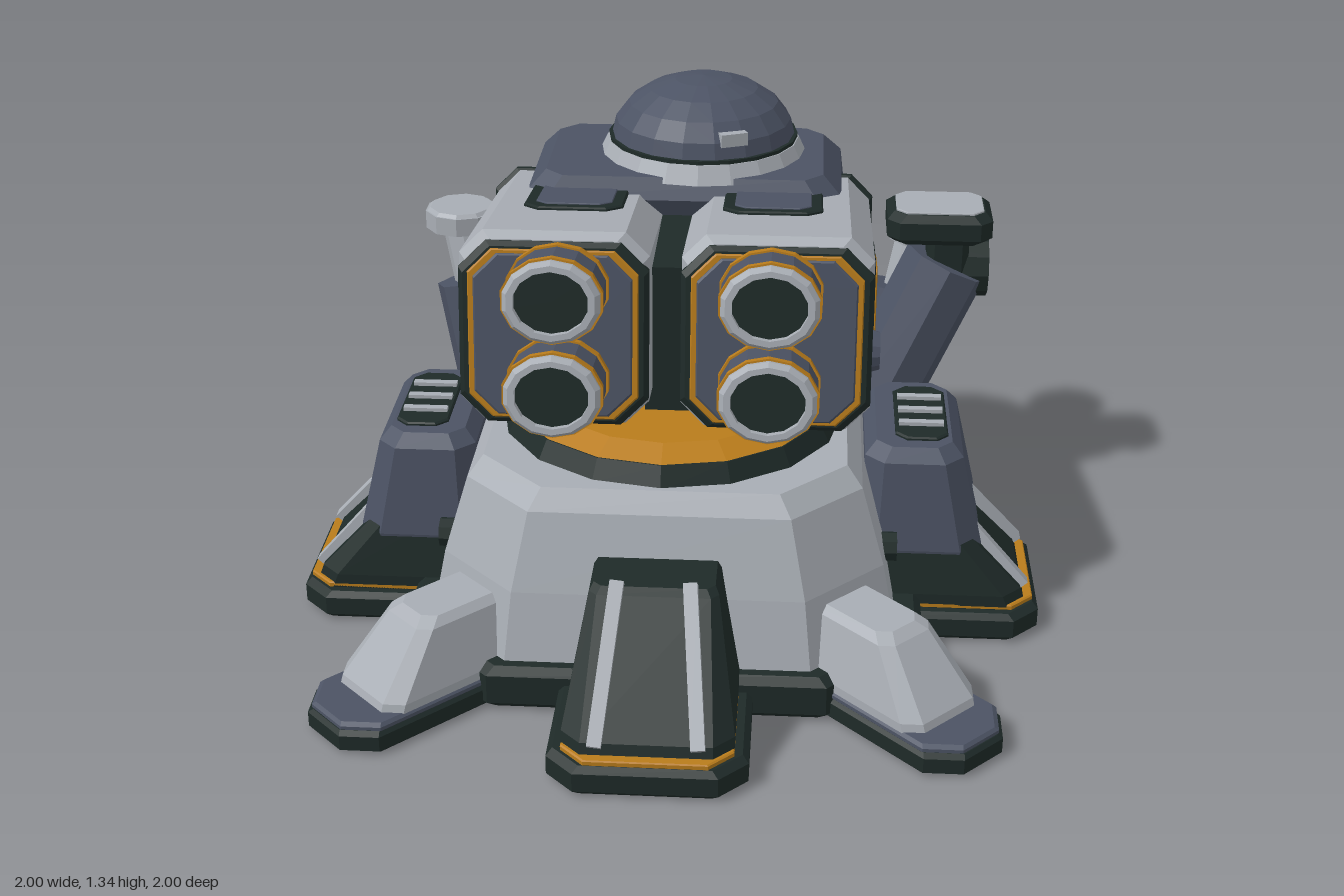
import * as THREE from 'three';

const mat = (name, color) => Object.assign(new THREE.MeshStandardMaterial({ color }), { name });
const light = mat('light grey', 0xa8adb4);
const slate = mat('slate', 0x4c5364);
const dark = mat('dark green grey', 0x1e2a28);
const orange = mat('orange', 0xb97c1b);

const V = (x, y, z) => new THREE.Vector3(x, y, z);
const flat = (g) => {
  const f = g.index ? g.toNonIndexed() : g;
  f.computeVertexNormals();
  return f;
};
function add(parent, name, geo, m, x = 0, y = 0, z = 0) {
  const mesh = new THREE.Mesh(flat(geo), m);
  mesh.name = name;
  mesh.position.set(x, y, z);
  parent.add(mesh);
  return mesh;
}

// Closed solid through rectangles with cut corners: [y, x0, x1, z0, z1, corner]
function loft(rings) {
  const p = [], idx = [], n = 8;
  for (const [y, x0, x1, z0, z1, c] of rings) {
    [[x1, z0 + c], [x1, z1 - c], [x1 - c, z1], [x0 + c, z1],
      [x0, z1 - c], [x0, z0 + c], [x0 + c, z0], [x1 - c, z0]].forEach(([x, z]) => p.push(x, y, z));
  }
  for (let r = 0; r < rings.length - 1; r++) {
    for (let i = 0; i < n; i++) {
      const a = r * n + i, b = r * n + (i + 1) % n;
      idx.push(a, a + n, b, b, a + n, b + n);
    }
  }
  const t = (rings.length - 1) * n;
  for (let i = 1; i < n - 1; i++) idx.push(0, i, i + 1, t, t + i + 1, t + i);
  const g = new THREE.BufferGeometry();
  g.setAttribute('position', new THREE.Float32BufferAttribute(p, 3));
  g.setIndex(idx);
  // make the winding face outward
  for (let i = 0; i < idx.length; i += 3) [idx[i + 1], idx[i + 2]] = [idx[i + 2], idx[i + 1]];
  const vol = idx.reduce((s, _, i) => {
    if (i % 3) return s;
    const [a, b, c] = [0, 1, 2].map((k) => V(...p.slice(idx[i + k] * 3, idx[i + k] * 3 + 3)));
    return s + a.dot(b.cross(c));
  }, 0);
  if (vol < 0) for (let i = 0; i < idx.length; i += 3) [idx[i + 1], idx[i + 2]] = [idx[i + 2], idx[i + 1]];
  g.setIndex(idx);
  return g;
}
// Slab with cut corners and a bevelled rim, lying flat, centred on its footprint
const slab = (w, h, d, c, b) => loft([
  [0, -w / 2 + b, w / 2 - b, -d / 2 + b, d / 2 - b, c], [b, -w / 2, w / 2, -d / 2, d / 2, c],
  [h - b, -w / 2, w / 2, -d / 2, d / 2, c], [h, -w / 2 + b, w / 2 - b, -d / 2 + b, d / 2 - b, c]]);
// Same slab standing up, thickness along +z
const panel = (w, h, t, c, b) => slab(w, t, h, c, b).rotateX(Math.PI / 2);

// Geometry whose y axis is laid from a to b
function between(parent, name, geo, m, a, b) {
  const mesh = add(parent, name, geo, m);
  mesh.position.copy(a).lerp(b, 0.5);
  mesh.quaternion.setFromUnitVectors(V(0, 1, 0), b.clone().sub(a).normalize());
  return mesh;
}
const rod = (parent, name, m, a, b, r, n = 8, r2 = r) =>
  between(parent, name, new THREE.CylinderGeometry(r2, r, a.distanceTo(b), n), m, a, b);

function buildBase(root) {
  add(root, 'basePlate', slab(1.36, 0.12, 1.3, 0.25, 0.02), dark);
  for (let i = 0; i < 4; i++) {
    // Straight foot with ramp and ribs
    const foot = new THREE.Group();
    foot.name = 'straightFoot';
    foot.rotation.y = i * Math.PI / 2;
    root.add(foot);
    add(foot, 'footPlate', slab(0.49, 0.08, 0.6, 0.07, 0.015), dark, 0, 0, 0.7);
    add(foot, 'footTrim', slab(0.42, 0.016, 0.55, 0.06, 0.003), orange, 0, 0.078, 0.71);
    add(foot, 'ramp', loft([[0.08, -0.21, 0.21, 0.45, 0.965, 0.05], [0.12, -0.21, 0.21, 0.45, 0.95, 0.05],
      [0.38, -0.16, 0.16, 0.45, 0.7, 0.02], [0.395, -0.15, 0.15, 0.45, 0.68, 0.02]]), dark);
    for (const s of [-1, 1]) {
      const a = V(s * 0.125, 0.11, 0.955), b = V(s * 0.09, 0.41, 0.685);
      between(foot, 'rampRib', new THREE.BoxGeometry(0.035, a.distanceTo(b), 0.045), light, a, b);
    }
    // Diagonal foot with light ramp
    const diag = new THREE.Group();
    diag.name = 'diagonalFoot';
    diag.rotation.y = Math.PI / 4 + i * Math.PI / 2;
    root.add(diag);
    add(diag, 'diagonalPlate', slab(0.28, 0.06, 0.6, 0.07, 0.01), dark, 0, 0, 0.85);
    add(diag, 'diagonalTop', slab(0.27, 0.025, 0.58, 0.07, 0.008), slate, 0, 0.055, 0.85);
    add(diag, 'diagonalRamp', loft([[0.07, -0.13, 0.13, 0.5, 1.04, 0.04], [0.1, -0.13, 0.13, 0.5, 1.03, 0.04],
      [0.25, -0.09, 0.09, 0.5, 0.9, 0.03], [0.27, -0.07, 0.07, 0.5, 0.87, 0.03]]), light);
  }
  // Armoured hull
  const ring = (y, r, c) => [y, -r, r, -r, r, c];
  add(root, 'hull', loft([ring(0.1, 0.61, 0.22), ring(0.3, 0.57, 0.2), ring(0.5, 0.51, 0.18), ring(0.55, 0.47, 0.17)]), light);
  add(root, 'turretRing', new THREE.CylinderGeometry(0.43, 0.46, 0.055, 16), dark, 0, 0.572, 0);
  add(root, 'turretRingTrim', new THREE.CylinderGeometry(0.36, 0.43, 0.03, 16), orange, 0, 0.613, 0);
  // Rear equipment box
  add(root, 'rearBox', slab(0.5, 0.38, 0.3, 0.03, 0.015), dark, 0, 0.09, -0.6);
  add(root, 'rearBoxLid', slab(0.48, 0.03, 0.28, 0.03, 0.01), slate, 0, 0.465, -0.6);
}

function buildSidePod(root, s) {
  const pod = new THREE.Group();
  pod.name = 'sidePod';
  pod.position.set(s * 0.67, 0, -0.05);
  root.add(pod);
  const o = s * 0.02;
  add(pod, 'podShell', loft([[0.15, -0.16, 0.16, -0.24, 0.22, 0.06], [0.24, -0.17, 0.17, -0.26, 0.24, 0.06],
    [0.49, -0.13 - o, 0.13 - o, -0.24, 0.22, 0.05], [0.525, -0.1 - o, 0.1 - o, -0.21, 0.19, 0.04]]), slate);
  add(pod, 'podVent', slab(0.14, 0.014, 0.32, 0.03, 0.004), dark, 0, 0.52, -0.01);
  for (const z of [-0.09, -0.01, 0.07]) add(pod, 'ventSlat', new THREE.BoxGeometry(0.12, 0.014, 0.022), light, 0, 0.537, z);
  for (const z of [0.26, -0.36])
    rod(pod, 'hullBolt', dark, V(-s * 0.15, 0.265, z), V(-s * 0.06, 0.265, z), 0.04);
}

function buildLauncher(root, s) {
  const box = new THREE.Group();
  box.name = 'launcher';
  box.position.set(s * 0.28, 0.855, -0.08);
  box.rotation.x = -0.13;
  root.add(box);
  add(box, 'launcherShell', panel(0.48, 0.5, 0.75, 0.06, 0.02), light, 0, 0, -0.38);
  add(box, 'rearFrame', panel(0.5, 0.51, 0.05, 0.06, 0.015), dark, 0, 0, -0.39);
  add(box, 'frontFrame', panel(0.48, 0.475, 0.04, 0.07, 0.012), dark, 0, -0.01, 0.345);
  add(box, 'frontTrim', panel(0.43, 0.44, 0.012, 0.06, 0.003), orange, 0, -0.01, 0.38);
  add(box, 'frontPanel', panel(0.4, 0.42, 0.015, 0.06, 0.004), slate, 0, -0.01, 0.385);
  // Launch tubes
  for (const y of [0.12, -0.12]) {
    const tube = new THREE.Group();
    tube.name = 'launchTube';
    tube.position.set(-s * 0.015, y, 0);
    tube.scale.x = 1.17;
    box.add(tube);
    const cyl = (r, z0, z1) => new THREE.CylinderGeometry(r, r, z1 - z0, 14).rotateX(Math.PI / 2).translate(0, 0, (z0 + z1) / 2);
    add(tube, 'tubeBase', cyl(0.112, 0.395, 0.42), orange);
    add(tube, 'tubeBody', cyl(0.107, 0.42, 0.52), slate);
    add(tube, 'tubeBand', cyl(0.11, 0.52, 0.54), orange);
    const rim = [[0.08, 0.53], [0.105, 0.53], [0.105, 0.55], [0.095, 0.565], [0.08, 0.565], [0.08, 0.53]];
    add(tube, 'tubeRim', new THREE.LatheGeometry(rim.map((q) => new THREE.Vector2(...q)), 14).rotateX(Math.PI / 2), light);
    add(tube, 'tubeBore', cyl(0.081, 0.52, 0.545), dark);
  }
  // Outer side hatch and knob
  const side = new THREE.Group();
  side.name = 'sideDetails';
  side.rotation.y = s * Math.PI / 2;
  side.position.x = s * 0.24;
  box.add(side);
  add(side, 'hatchFrame', panel(0.25, 0.265, 0.02, 0.015, 0.005), dark, s * 0.12, -0.03, -0.005);
  add(side, 'hatch', panel(0.18, 0.2, 0.009, 0.008, 0.002), orange, s * 0.12, -0.03, 0.012);
  const knob = add(side, 'sideKnob', new THREE.CylinderGeometry(0.05, 0.06, 0.035, 12).rotateX(Math.PI / 2), slate, -s * 0.085, -0.12, 0.012);
  knob.scale.x = 1.15;
  // Roof inset
  add(box, 'roofFrame', slab(0.26, 0.014, 0.52, 0.04, 0.004), dark, -s * 0.02, 0.245, -0.13);
  add(box, 'roofInset', slab(0.2, 0.009, 0.46, 0.03, 0.002), slate, -s * 0.02, 0.254, -0.13);
}

function buildPiston(root, s) {
  const g = new THREE.Group();
  g.name = 'rearPiston';
  root.add(g);
  const at = (t) => V(s * (0.57 + 0.135 * t), 0.15 + 0.64 * t, -0.76 - 0.12 * t);
  rod(g, 'pistonSleeve', slate, at(0), at(0.66), 0.125);
  rod(g, 'pistonRod', light, at(0.64), at(0.92), 0.07);
  const top = at(1);
  add(g, 'pistonHead', new THREE.CylinderGeometry(0.11, 0.11, 0.055, 10), light, top.x, 0.755, top.z);
  add(g, 'pistonHeadCap', new THREE.CylinderGeometry(0.095, 0.11, 0.015, 10), light, top.x, 0.785, top.z);
  add(g, 'pistonBracket', slab(0.48, 0.07, 0.22, 0.04, 0.01), light, s * 0.43, 0.1, -0.765);
}

function buildSensor(root) {
  const g = new THREE.Group();
  g.name = 'sensorArm';
  root.add(g);
  rod(g, 'armSleeve', slate, V(0.54, 0.27, -0.57), V(0.76, 0.74, -0.64), 0.125);
  rod(g, 'armJoint', dark, V(0.72, 0.72, -0.67), V(0.88, 0.72, -0.67), 0.09, 10);
  add(g, 'sensorNeck', slab(0.12, 0.16, 0.12, 0.02, 0.01), dark, 0.76, 0.7, -0.64);
  add(g, 'sensorHead', slab(0.3, 0.09, 0.23, 0.035, 0.02), dark, 0.73, 0.83, -0.635);
  add(g, 'sensorPanel', slab(0.25, 0.009, 0.18, 0.03, 0.002), light, 0.73, 0.917, -0.635);
}

function buildHousing(root) {
  add(root, 'rearHousing', loft([[0.57, -0.37, 0.39, -0.62, -0.3, 0.05], [0.72, -0.42, 0.44, -0.7, -0.3, 0.07],
    [1.0, -0.42, 0.45, -0.71, -0.22, 0.07], [1.08, -0.41, 0.44, -0.7, -0.18, 0.06],
    [1.135, -0.36, 0.39, -0.65, -0.21, 0.05]]), slate);
  add(root, 'centreSpine', new THREE.BoxGeometry(0.12, 0.42, 0.5), dark, 0, 0.82, -0.08);
  // Domed hatch
  add(root, 'domeRing', new THREE.CylinderGeometry(0.265, 0.29, 0.05, 20), light, 0.055, 1.145, -0.475);
  add(root, 'domeSeat', new THREE.CylinderGeometry(0.262, 0.262, 0.02, 20), dark, 0.055, 1.17, -0.475);
  const dome = add(root, 'dome', new THREE.SphereGeometry(0.255, 18, 5, 0, Math.PI * 2, 0, Math.PI / 2), slate, 0.055, 1.17, -0.475);
  dome.scale.y = 0.67;
  const lamp = add(root, 'domeLamp', new THREE.BoxGeometry(0.075, 0.035, 0.03), light, 0.145, 1.23, -0.262);
  lamp.rotation.y = 0.4;
}

export function createModel() {
  const root = new THREE.Group();
  root.name = 'launcherTurret';
  buildBase(root);
  buildHousing(root);
  buildSensor(root);
  for (const s of [-1, 1]) {
    buildSidePod(root, s);
    buildLauncher(root, s);
    buildPiston(root, s);
  }
  return root;
}
